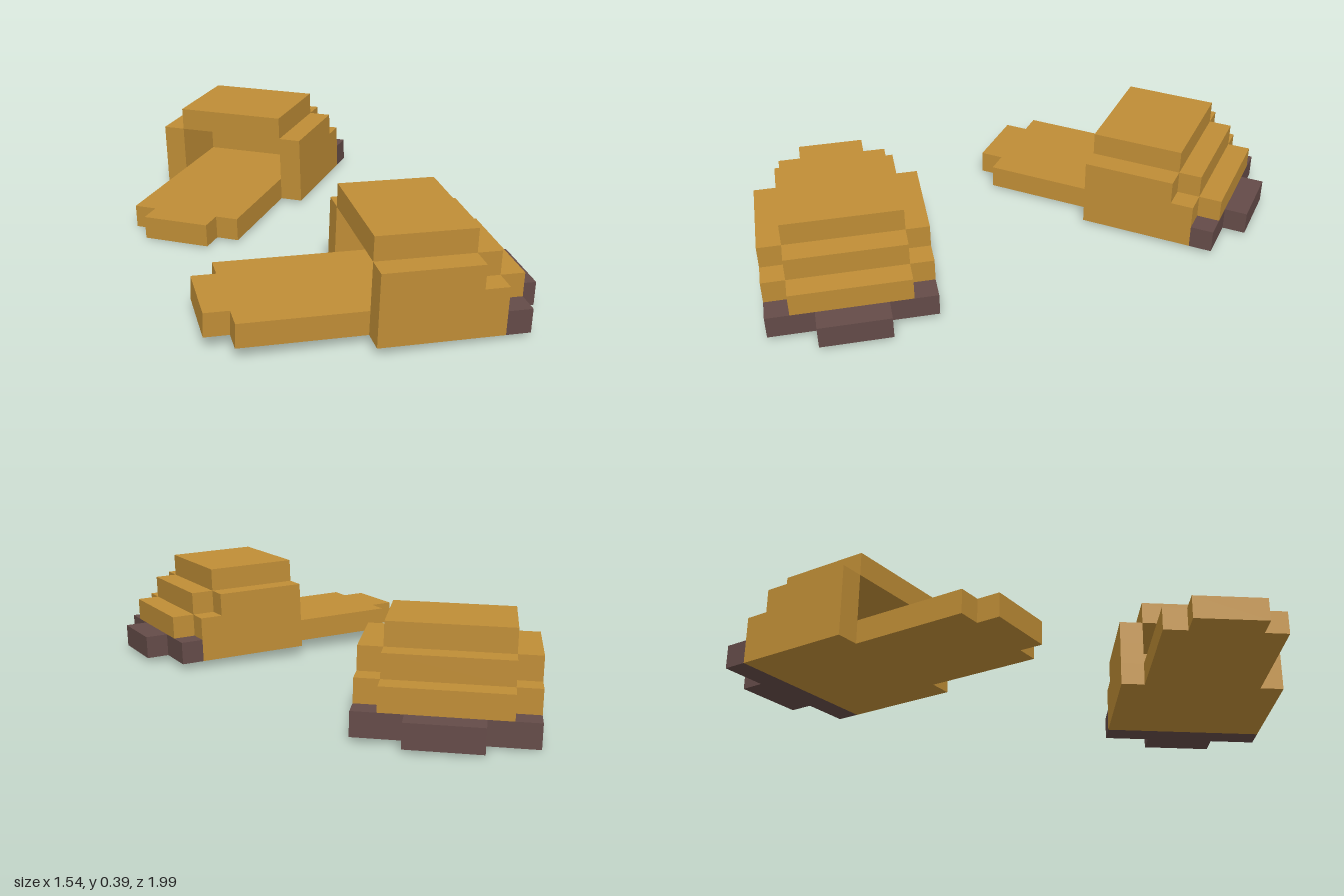
import * as THREE from 'three';

const UNIT = 0.0884; // edge of one block

const tan = new THREE.MeshStandardMaterial({ color: 0xbf8d36 });
tan.name = 'tan fabric';
const brown = new THREE.MeshStandardMaterial({ color: 0x644b48 });
brown.name = 'dark brown toe';

// Each layer: right half of its plan outline in blocks, [across, towards toe]
const LAYERS = [
  { name: 'sole', level: 0, material: tan, half: [[3.5, -1], [3.5, -6], [2.5, -6], [2.5, -11], [1.5, -11], [1.5, -12]] },
  { name: 'toeCap', level: 0, material: brown, half: [[1.5, 1], [1.5, 0], [3.5, 0], [3.5, -1]] },
  // The two wall layers are open at the back for the foot
  { name: 'lowerUpper', level: 1, material: tan, half: [[2.5, 0], [2.5, -1], [3.5, -1], [3.5, -6], [2.5, -6], [2.5, -3]] },
  { name: 'middleUpper', level: 2, material: tan, half: [[2.5, -1], [2.5, -2], [3.5, -2], [3.5, -6], [2.5, -6], [2.5, -3]] },
  { name: 'topUpper', level: 3, material: tan, half: [[2.5, -2], [2.5, -6]] },
];

// Mirror the half outline and extrude it one block high
function layerMesh({ name, level, material, half }) {
  const mirrored = half.map(([u, v]) => [-u, v]).reverse();
  const outline = [...half, ...mirrored].map(([u, v]) => new THREE.Vector2(u * UNIT, v * UNIT));
  const geometry = new THREE.ExtrudeGeometry(new THREE.Shape(outline), { depth: UNIT, bevelEnabled: false });
  geometry.rotateX(-Math.PI / 2);
  const mesh = new THREE.Mesh(geometry, material);
  mesh.name = name;
  mesh.position.y = level * UNIT;
  return mesh;
}

// A slipper with its origin at the bottom centre of the toe edge
function slipper(name, position, yaw, tilt) {
  const group = new THREE.Group();
  group.name = name;
  LAYERS.forEach((layer) => group.add(layerMesh(layer)));
  group.position.set(...position);
  group.rotation.set(0, yaw, tilt, 'ZYX');
  return group;
}

export function createModel() {
  const model = new THREE.Group();
  model.name = 'slippers';
  model.add(slipper('rightSlipper', [-0.318, 0.011, -0.884], -0.25, 0.022));
  model.add(slipper('leftSlipper', [0.637, 0.019, 0.44], -1.207, -0.035));
  return model;
}
